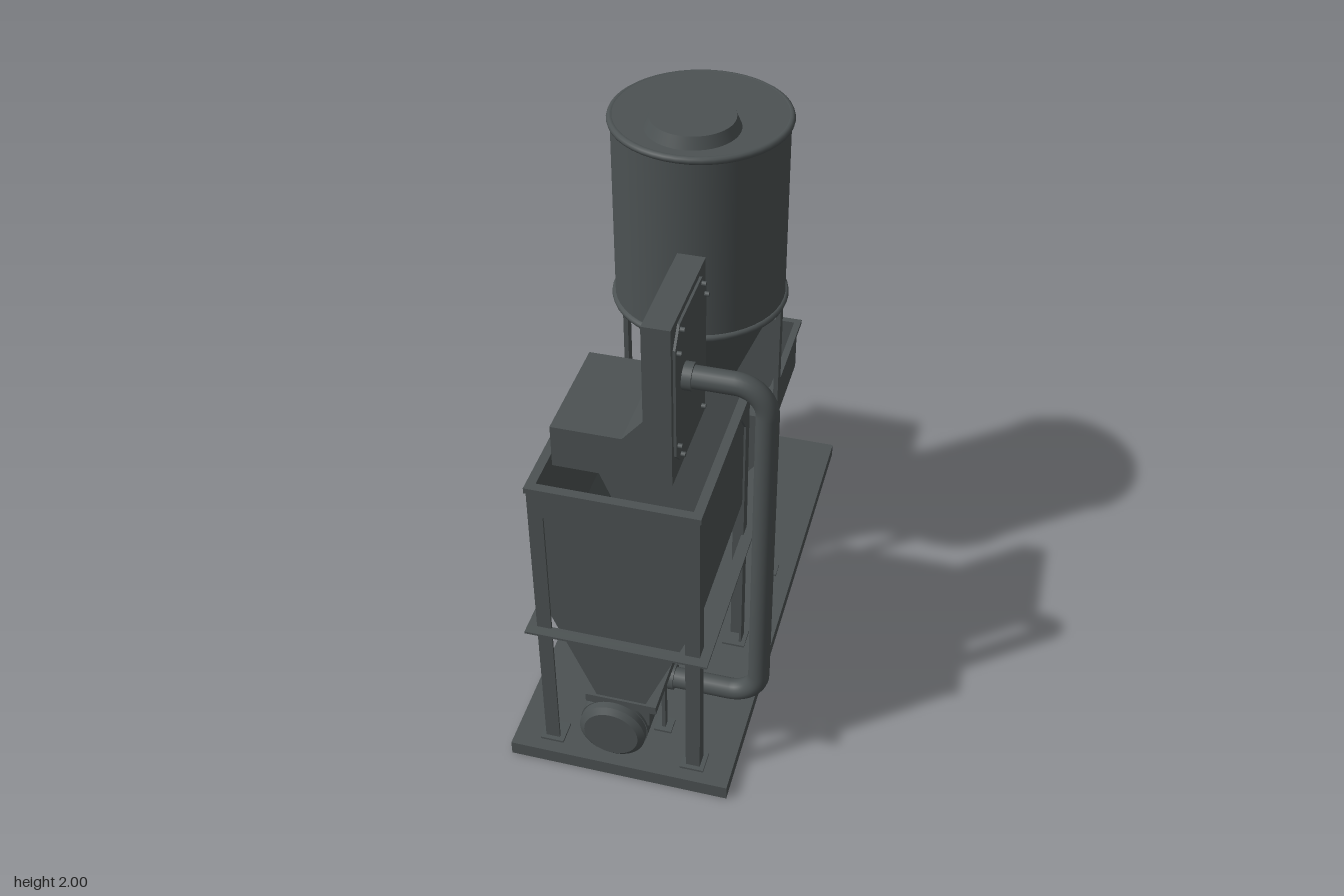
import * as THREE from 'three';

const steel = new THREE.MeshStandardMaterial({ color: 0x4c5253 });
steel.name = 'dark grey steel';
const CX = -0.035; // centre line of the hoppers and base

function add(parent, name, geometry, x = 0, y = 0, z = 0) {
  const mesh = new THREE.Mesh(geometry, steel);
  mesh.name = name;
  mesh.position.set(x, y, z);
  parent.add(mesh);
  return mesh;
}

function group(parent, name) {
  const g = new THREE.Group();
  g.name = name;
  parent.add(g);
  return g;
}

// Box given by its limits
function box(parent, name, x0, x1, y0, y1, z0, z1) {
  return add(parent, name, new THREE.BoxGeometry(x1 - x0, y1 - y0, z1 - z0),
    (x0 + x1) / 2, (y0 + y1) / 2, (z0 + z1) / 2);
}

// Outline in x, y extruded from z0 to z1
function prism(parent, name, points, z0, z1) {
  const shape = new THREE.Shape(points.map(p => new THREE.Vector2(p[0], p[1])));
  return add(parent, name, new THREE.ExtrudeGeometry(shape, { depth: z1 - z0, bevelEnabled: false }), 0, 0, z0);
}

const drum = (parent, name, rTop, rBottom, y0, y1, x, z) =>
  add(parent, name, new THREE.CylinderGeometry(rTop, rBottom, y1 - y0, 48), x, (y0 + y1) / 2, z);

function ring(parent, name, radius, tube, x, y, z) {
  add(parent, name, new THREE.TorusGeometry(radius, tube, 10, 48), x, y, z).rotation.x = Math.PI / 2;
}

// Rectangular frame of four bars lying flat around an inner opening
function frame(parent, name, x0, x1, y0, y1, z0, z1, w) {
  box(parent, name, x0, x1, y0, y1, z0, z0 + w);
  box(parent, name, x0, x1, y0, y1, z1 - w, z1);
  box(parent, name, x0, x0 + w, y0, y1, z0 + w, z1 - w);
  box(parent, name, x1 - w, x1, y0, y1, z0 + w, z1 - w);
}

// Open-topped hopper: straight walls above a wedge running along z
function hopper(parent, name, halfTop, halfBottom, yBottom, yKnee, yTop, z0, z1) {
  const t = 0.01;
  const right = [[halfBottom, yBottom], [halfTop, yKnee], [halfTop, yTop]];
  const inner = [[halfTop - t, yTop], [halfTop - t, yKnee], [halfBottom - t / 2, yBottom + t]];
  const place = s => p => [CX + s * p[0], p[1]];
  const outline = [...right.map(place(1)), ...right.slice().reverse().map(place(-1))];
  const shell = [...right.map(place(1)), ...inner.map(place(1)),
    ...inner.slice().reverse().map(place(-1)), ...right.slice().reverse().map(place(-1))];
  prism(parent, name + 'Walls', shell, z0 + t, z1 - t);
  prism(parent, name + 'EndPlate', outline, z0, z0 + t);
  prism(parent, name + 'EndPlate', outline, z1 - t, z1);
}

export function createModel() {
  const model = new THREE.Group();
  model.name = 'hopperAndSiloUnit';

  // Base pan, hollow underneath
  const base = group(model, 'base');
  box(base, 'basePlate', -0.41, 0.34, 0.04, 0.052, -0.91, 0.91);
  frame(base, 'baseRim', -0.41, 0.34, 0, 0.04, -0.91, 0.91, 0.015);

  // Conveyor tube with bevelled end caps
  const conveyor = group(model, 'conveyor');
  const tubeProfile = [[0, -0.89], [0.088, -0.89], [0.1, -0.88], [0.1, -0.85], [0.1, -0.85], [0.115, -0.85],
    [0.115, 0.85], [0.1, 0.85], [0.1, 0.88], [0.088, 0.89], [0, 0.89]];
  for (const s of [-1, 1]) {
    add(conveyor, 'endCap', new THREE.CylinderGeometry(0.112, 0.112, 0.025, 40), -0.06, 0.177, s * 0.862).rotation.x = Math.PI / 2;
    add(conveyor, 'endCapBevel', new THREE.CylinderGeometry(s > 0 ? 0.092 : 0.112, s > 0 ? 0.112 : 0.092, 0.015, 40),
      -0.06, 0.177, s * 0.882).rotation.x = Math.PI / 2;
  }
  add(conveyor, 'conveyorTube', new THREE.CylinderGeometry(0.115, 0.115, tubeProfile[6][1] * 2, 40), -0.06, 0.177, 0).rotation.x = Math.PI / 2;
  box(conveyor, 'topChannel', -0.13, 0.06, 0.2, 0.28, -0.84, 0.84);
  box(conveyor, 'topFlange', -0.155, 0.085, 0.272, 0.305, -0.85, 0.85);
  for (const z of [0.705, -0.78]) {
    for (const x of [-0.15, 0.072]) {
      box(conveyor, 'conveyorLeg', x - 0.006, x + 0.006, 0.052, 0.275, z - 0.013, z + 0.013);
      box(conveyor, 'conveyorFoot', x - 0.03, x + 0.03, 0.052, 0.06, z - 0.03, z + 0.03);
    }
  }

  // Rear feed hopper
  const rear = group(model, 'rearHopper');
  hopper(rear, 'rearHopper', 0.215, 0.075, 0.3, 0.49, 0.695, -0.835, -0.235);
  frame(rear, 'rearHopperRim', CX - 0.23, CX + 0.23, 0.69, 0.705, -0.85, -0.22, 0.025);

  // Silo
  const silo = group(model, 'silo');
  const sx = -0.02, sz = -0.115;
  drum(silo, 'siloBody', 0.284, 0.284, 1.3, 1.962, sx, sz);
  ring(silo, 'siloTopRing', 0.282, 0.013, sx, 1.95, sz);
  ring(silo, 'siloBottomRing', 0.282, 0.013, sx, 1.3, sz);
  drum(silo, 'siloCone', 0.265, 0.075, 0.85, 1.3, sx, sz);
  drum(silo, 'siloOutlet', 0.077, 0.077, 0.3, 0.86, sx, sz);
  ring(silo, 'outletCollar', 0.078, 0.01, sx, 0.84, sz);
  drum(silo, 'siloLid', 0.135, 0.152, 1.96, 2, sx, -0.02);
  for (const x of [-0.285, 0.25]) {
    box(silo, 'siloLeg', x - 0.008, x + 0.008, 0.052, 1.3, sz - 0.03, sz + 0.008);
    box(silo, 'siloFoot', x - 0.03, x + 0.03, 0.052, 0.06, sz - 0.04, sz + 0.02);
  }

  // Front hopper
  const front = group(model, 'frontHopper');
  hopper(front, 'frontHopper', 0.262, 0.08, 0.296, 0.73, 1.165, 0.235, 0.842);
  frame(front, 'frontHopperRim', CX - 0.274, CX + 0.274, 1.155, 1.175, 0.22, 0.858, 0.03);

  // Angle-iron legs, feet and corner gussets of the front hopper
  const zMid = 0.538, halfX = 0.269, halfZ = 0.314, w = 0.048, t = 0.008;
  for (const sX of [-1, 1]) {
    for (const sZ of [-1, 1]) {
      const x = CX + sX * halfX, z = zMid + sZ * halfZ;
      const span = (a, b) => [Math.min(a, b), Math.max(a, b)];
      box(front, 'frontHopperLeg', ...span(x, x - sX * w), 0.052, 1.16, ...span(z, z - sZ * t));
      box(front, 'frontHopperLeg', ...span(x, x - sX * t), 0.052, 1.16, ...span(z, z - sZ * w));
      box(front, 'frontHopperFoot', ...span(x + sX * 0.015, x - sX * 0.065), 0.052, 0.06, ...span(z + sZ * 0.015, z - sZ * 0.065));
      // end-face gusset
      const gx = x - sX * w;
      const zs = span(z, z - sZ * t);
      prism(front, 'endGusset', [[gx, 1.06], [gx, 1.155], [gx - sX * 0.075, 1.155]], ...zs);
      // side-face gusset, drawn in the z-y plane and turned to face sideways
      const shape = new THREE.Shape([[-(z - sZ * w), 1.06], [-(z - sZ * w), 1.155], [-(z - sZ * (w + 0.075)), 1.155]]
        .map(p => new THREE.Vector2(p[0], p[1])));
      const gusset = new THREE.ExtrudeGeometry(shape, { depth: t, bevelEnabled: false }).rotateY(Math.PI / 2);
      add(front, 'sideGusset', gusset, span(x, x - sX * t)[0], 0, 0);
    }
  }

  // Waist frame of angle iron
  frame(front, 'waistBand', CX - 0.273, CX + 0.273, 0.555, 0.585, 0.22, 0.856, 0.012);
  frame(front, 'waistFlange', CX - 0.3, CX + 0.3, 0.577, 0.585, 0.188, 0.885, 0.032);

  // Stepped fan housing over the front hopper
  const housing = group(model, 'fanHousing');
  prism(housing, 'housingBody', [[-0.27, 1.15], [0.11, 1.15], [0.11, 1.722], [0.022, 1.722],
    [0.022, 1.38], [-0.045, 1.3], [-0.27, 1.3]], 0.32, 0.708);
  // Chamfered cover plate on the housing side
  const plate = new THREE.Shape([[-0.64, 1.2], [-0.39, 1.2], [-0.342, 1.25], [-0.342, 1.64],
    [-0.39, 1.7], [-0.64, 1.7], [-0.688, 1.64], [-0.688, 1.25]].map(p => new THREE.Vector2(p[0], p[1])));
  add(housing, 'coverPlate', new THREE.ExtrudeGeometry(plate, { depth: 0.008, bevelEnabled: false }).rotateY(Math.PI / 2), 0.11);
  for (const y of [1.22, 1.28, 1.62, 1.68]) {
    for (const z of [0.36, 0.67]) {
      const inset = (y === 1.22 || y === 1.68) ? 0.035 : 0;
      add(housing, 'bolt', new THREE.CylinderGeometry(0.008, 0.008, 0.024, 8), 0.12, y, z + (z < 0.5 ? inset : -inset)).rotation.z = Math.PI / 2;
    }
  }

  // Air pipe from the housing down to the conveyor
  const pipe = group(model, 'airPipe');
  const v = (x, y) => new THREE.Vector3(x, y, 0.592);
  const path = new THREE.CurvePath();
  path.add(new THREE.LineCurve3(v(0.1, 1.485), v(0.27, 1.485)));
  path.add(new THREE.CubicBezierCurve3(v(0.27, 1.485), v(0.325, 1.485), v(0.37, 1.44), v(0.37, 1.385)));
  path.add(new THREE.LineCurve3(v(0.37, 1.385), v(0.37, 0.275)));
  path.add(new THREE.CubicBezierCurve3(v(0.37, 0.275), v(0.37, 0.22), v(0.325, 0.175), v(0.27, 0.175)));
  path.add(new THREE.LineCurve3(v(0.27, 0.175), v(0.02, 0.175)));
  add(pipe, 'pipe', new THREE.TubeGeometry(path, 140, 0.036, 20));
  for (const [x, y] of [[0.132, 1.485], [0.065, 0.175]]) {
    add(pipe, 'pipeCollar', new THREE.CylinderGeometry(0.044, 0.044, 0.03, 24), x, y, 0.592).rotation.z = Math.PI / 2;
  }
  return model;
}
